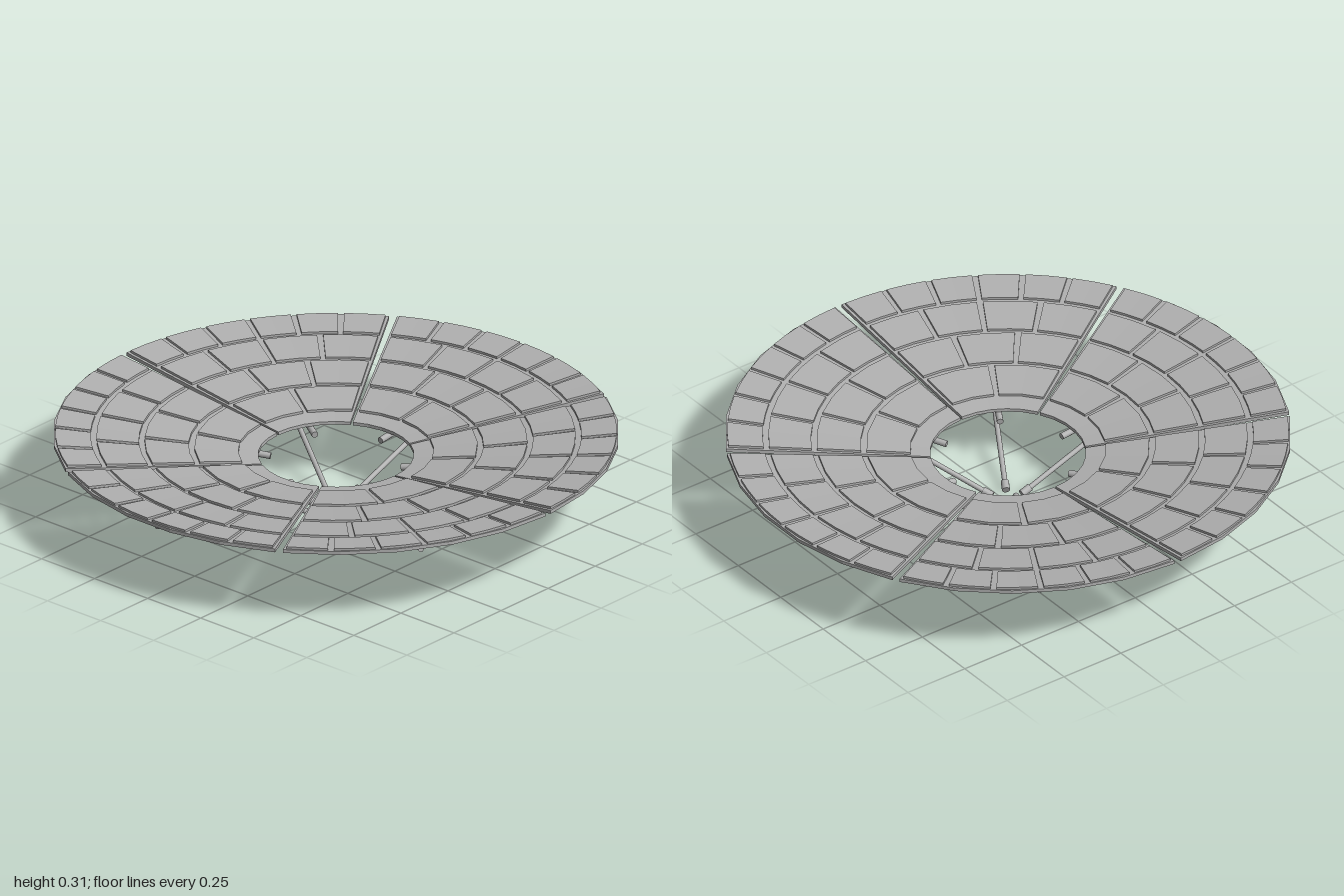
import * as THREE from 'three';

const metal = new THREE.MeshStandardMaterial({ color: 0xb0b0b0 });
metal.name = 'grey metal';

const SECTORS = 6, INNER = 0.275, OUTER = 1, GAP = 0.014;
const STEP = (Math.PI * 2) / SECTORS;

// Heights of the shallow cone at radius r
const along = (r, a, b) => a + ((r - INNER) / (OUTER - INNER)) * (b - a);
const underside = r => along(r, 0.206, 0.288);
const deck = r => along(r, 0.218, 0.301);

// Solid ring segment: a four-corner [radius, height] profile swept between two angles
function sweep(profile, a0, a1, segments) {
  const pos = [];
  const at = ([r, y], a) => [r * Math.cos(a), y, r * Math.sin(a)];
  const quad = (a, b, c, d) => pos.push(...a, ...b, ...c, ...a, ...c, ...d);
  for (let s = 0; s < segments; s++) {
    const u = a0 + ((a1 - a0) * s) / segments;
    const v = a0 + ((a1 - a0) * (s + 1)) / segments;
    profile.forEach((p, i) => {
      const q = profile[(i + 1) % profile.length];
      quad(at(p, u), at(q, u), at(q, v), at(p, v));
    });
  }
  quad(...profile.map(p => at(p, a1)));
  quad(...[...profile].reverse().map(p => at(p, a0)));
  const g = new THREE.BufferGeometry();
  g.setAttribute('position', new THREE.Float32BufferAttribute(pos, 3));
  g.computeVertexNormals();
  return g;
}

function addMesh(group, name, geometry) {
  const mesh = new THREE.Mesh(geometry, metal);
  mesh.name = name;
  group.add(mesh);
  return mesh;
}

// Rod between two [radius, height] points in the plane z = 0
function addRod(group, name, [r0, y0], [r1, y1], radius) {
  const length = Math.hypot(r1 - r0, y1 - y0);
  const rod = addMesh(group, name, new THREE.CylinderGeometry(radius, radius, length, 12));
  rod.position.set((r0 + r1) / 2, (y0 + y1) / 2, 0);
  rod.rotation.z = Math.atan2(y1 - y0, r1 - r0) - Math.PI / 2;
}

// Rows of raised tiles: inner radius, outer radius, tiles per sector
const ROWS = [[0.345, 0.5, 2], [0.52, 0.675, 3], [0.695, 0.845, 4], [0.865, 0.99, 6]];

function createSector() {
  const sector = new THREE.Group();
  const a0 = -STEP / 2 + GAP, a1 = STEP / 2 - GAP;

  // Tilted panel
  addMesh(sector, 'panel', sweep([
    [INNER, underside(INNER)], [OUTER, underside(OUTER)],
    [OUTER, deck(OUTER)], [INNER, deck(INNER)],
  ], a0, a1, 5));

  // Tiles on the panel
  for (const [r0, r1, count] of ROWS) {
    const width = (a1 - a0) / count;
    const margin = 0.01 / ((r0 + r1) / 2);
    for (let i = 0; i < count; i++) {
      const start = a0 + i * width + margin;
      addMesh(sector, 'tile', sweep([
        [r0, deck(r0) - 0.006], [r1, deck(r1) - 0.006],
        [r1, deck(r1) + 0.009], [r0, deck(r0) + 0.009],
      ], start, start + width - 2 * margin, 2));
    }
  }

  // Support beam under the panel
  addRod(sector, 'panelBeam', [0.235, 0.19], [0.95, 0.267], 0.012);

  // Diagonal strut with end collars
  const foot = [0.06, 0.017], head = [0.61, 0.218];
  const point = t => [foot[0] + (head[0] - foot[0]) * t, foot[1] + (head[1] - foot[1]) * t];
  addRod(sector, 'strut', foot, head, 0.0095);
  addRod(sector, 'footCollar', foot, point(0.065), 0.0145);
  addRod(sector, 'headCollar', point(0.97), head, 0.0125);
  return sector;
}

export function createModel() {
  const model = new THREE.Group();
  model.name = 'segmentedDish';
  for (let i = 0; i < SECTORS; i++) {
    const sector = createSector();
    sector.name = 'sector' + (i + 1);
    sector.rotation.y = i * STEP;
    model.add(sector);
  }
  return model;
}
